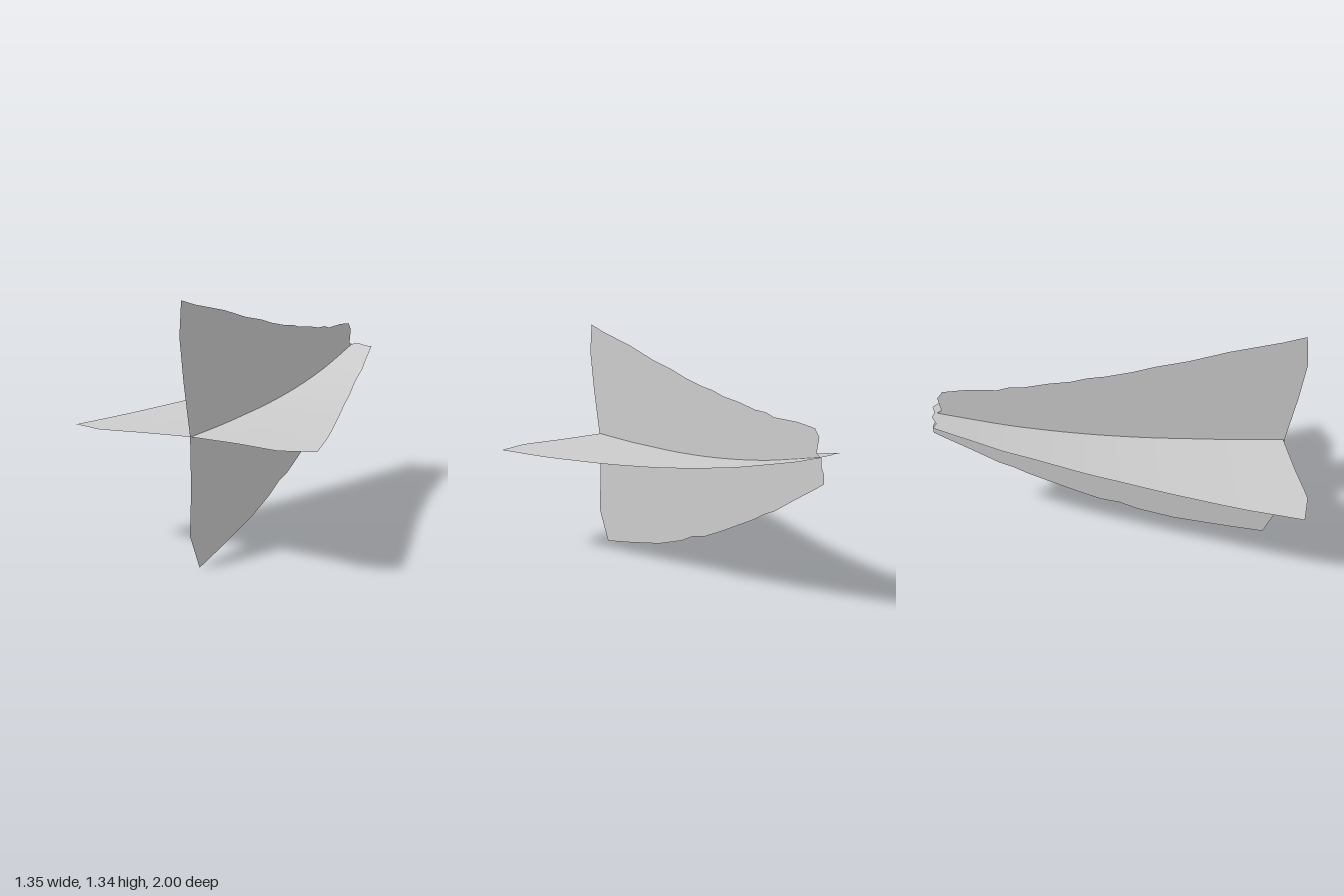
import * as THREE from 'three';

const v2 = (pairs) => pairs.map(([a, b]) => new THREE.Vector2(a, b));

// piecewise-linear lookup in a list of [key, value], keys rising
function lookup(table, k) {
  let i = 1;
  while (i < table.length - 1 && k > table[i][0]) i++;
  const [k0, a] = table[i - 1], [k1, b] = table[i];
  return a + (b - a) * THREE.MathUtils.clamp((k - k0) / (k1 - k0), 0, 1);
}

// outline of the upright sheet as [z, y]
const FIN = [
  [0.98, 1.34], [0.86, 1.31], [0.58, 1.258], [0.37, 1.205], [0.2, 1.175], [0.08, 1.145],
  [-0.07, 1.118], [-0.16, 1.11], [-0.25, 1.09], [-0.37, 1.08], [-0.5, 1.06], [-0.58, 1.06],
  [-0.64, 1.045], [-0.81, 1.05], [-0.93, 1.04], [-0.96, 1.0], [-0.945, 0.92], [-0.98, 0.9],
  [-0.98, 0.86], [-1, 0.82], [-1, 0.775], [-0.93, 0.73], [-0.8, 0.65], [-0.66, 0.56],
  [-0.58, 0.523], [-0.5, 0.475], [-0.37, 0.41], [-0.22, 0.335], [-0.1, 0.28], [0.01, 0.25],
  [0.11, 0.2], [0.32, 0.127], [0.6, 0.06], [0.85, 0.005], [0.935, 0.19], [0.918, 0.42],
  [0.92, 0.68], [0.97, 0.95], [1, 1.17],
];

// side edge of the cross sheet as [z, half width]
const EDGE = [
  [-0.965, 0.138], [-0.88, 0.16], [-0.75, 0.193], [-0.6, 0.235], [-0.46, 0.264], [-0.33, 0.3],
  [-0.15, 0.355], [0, 0.395], [0.22, 0.465], [0.42, 0.53], [0.64, 0.598], [0.92, 0.675],
];

// long bend of the cross sheet as [z, y]
const BEND = [
  [-1, 0.912], [-0.8, 0.862], [-0.6, 0.815], [-0.4, 0.778], [-0.2, 0.748],
  [0, 0.725], [0.2, 0.708], [0.4, 0.697], [0.6, 0.687], [0.92, 0.679], [0.98, 0.676],
];
const bend = new THREE.SplineCurve(v2(BEND)).getPoints(80).map((p) => [p.x, p.y]);

// z offsets of the ragged rear and notched front, as [across, offset]
const REAR = [[-1, -0.015], [-0.7, 0], [-0.33, -0.028], [0, -0.018], [0.33, -0.033], [0.7, -0.005], [1, 0]];
const FRONT = [[-1, 0], [-0.74, 0.045], [-0.4, 0.015], [0, -0.008], [0.4, 0.015], [0.74, 0.055], [1, 0]];

function crossSheetGeometry() {
  const rows = 36, cols = 24;
  const geo = new THREE.PlaneGeometry(1, 1, cols, rows);
  const pos = geo.attributes.position;
  for (let i = 0; i < pos.count; i++) {
    const s = pos.getX(i) * 2, t = 0.5 - pos.getY(i);
    const edgeZ = -0.965 + t * 1.885;
    const z = edgeZ + lookup(REAR, s) * (1 - t) + lookup(FRONT, s) * t;
    pos.setXYZ(i, s * lookup(EDGE, edgeZ), lookup(bend, z), z);
  }
  geo.computeVertexNormals();
  return geo;
}

export function createModel() {
  const group = new THREE.Group();
  group.name = 'crossedSheets';
  const grey = new THREE.MeshStandardMaterial({ color: 0xcccccc, side: THREE.DoubleSide });
  grey.name = 'lightGrey';

  // flat upright sheet, facing sideways
  const fin = new THREE.Mesh(new THREE.ShapeGeometry(new THREE.Shape(v2(FIN))), grey);
  fin.geometry.rotateY(-Math.PI / 2);
  fin.name = 'uprightSheet';

  // bent sheet crossing it
  const cross = new THREE.Mesh(crossSheetGeometry(), grey);
  cross.name = 'crossSheet';

  group.add(fin, cross);
  return group;
}
